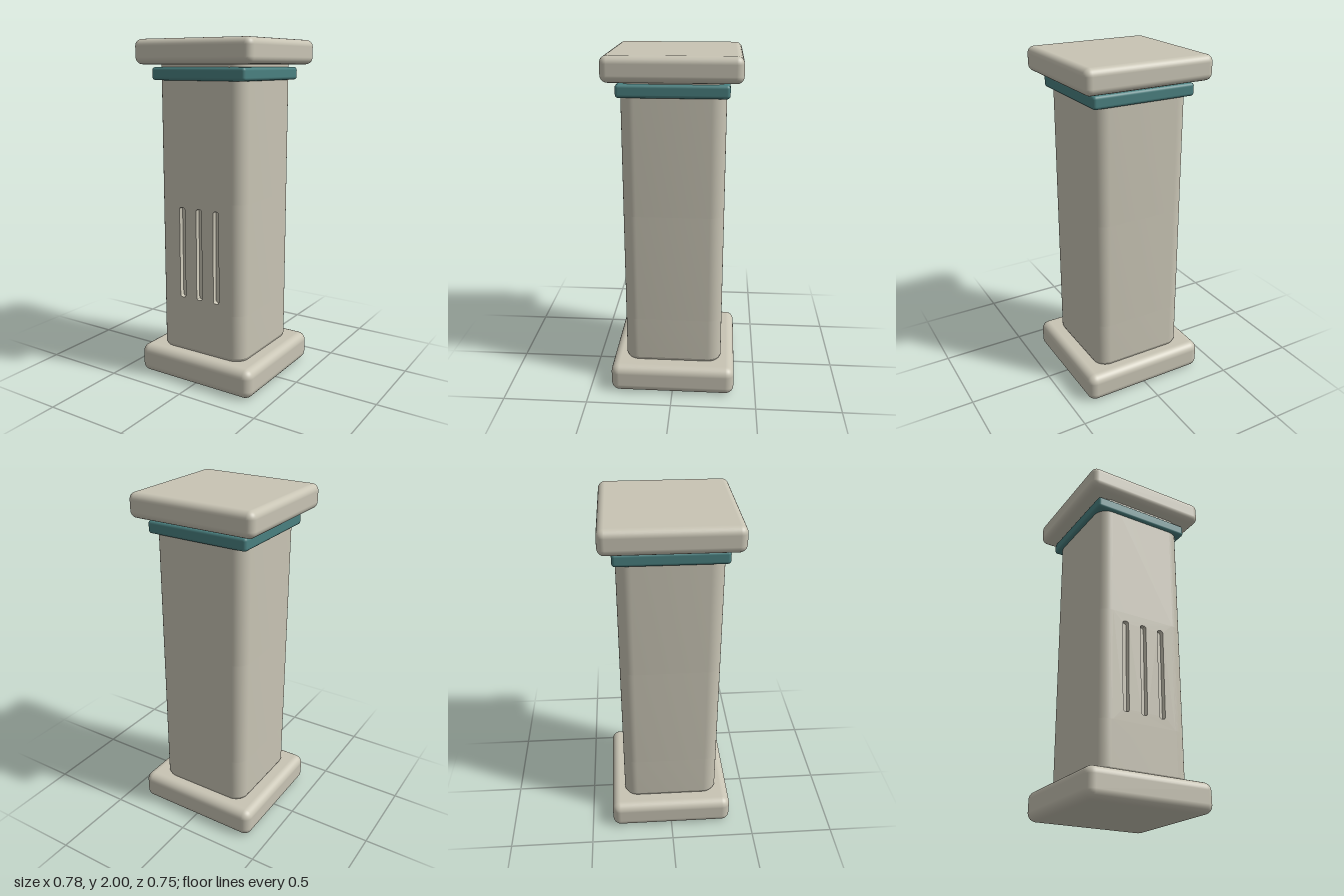
import * as THREE from 'three';
import { RoundedBoxGeometry } from 'three/addons/geometries/RoundedBoxGeometry.js';
import { toCreasedNormals } from 'three/addons/utils/BufferGeometryUtils.js';

const stone = new THREE.MeshStandardMaterial({ color: 0xc8c4b4 });
const teal = new THREE.MeshStandardMaterial({ color: 0x4a8080 });

const HALF = 0.288;   // half width of the shaft
const CORNER = 0.08;  // rounding of its upright edges
const PANEL = 0.2;    // half width of the fluted front panel
const DEPTH = 0.03;   // depth of the flutes

function add(parent, name, geometry, material = stone) {
  const mesh = new THREE.Mesh(geometry, material);
  mesh.name = name;
  parent.add(mesh);
  return mesh;
}

function slab(parent, name, w, d, y0, y1, radius, material) {
  const geometry = new RoundedBoxGeometry(w, y1 - y0, d, 4, radius);
  add(parent, name, geometry, material).position.y = (y0 + y1) / 2;
}

// Rounded square plan; shape -y becomes the front. Optionally recessed for the panel.
function shaftPlan(recessed) {
  const h = HALF, r = CORNER, s = new THREE.Shape();
  s.moveTo(-h + r, -h);
  if (recessed) {
    s.lineTo(-PANEL, -h);
    s.lineTo(-PANEL, -h + DEPTH);
    s.lineTo(PANEL, -h + DEPTH);
    s.lineTo(PANEL, -h);
  }
  s.lineTo(h - r, -h);
  s.absarc(h - r, -h + r, r, -Math.PI / 2, 0);
  s.absarc(h - r, h - r, r, 0, Math.PI / 2);
  s.absarc(-h + r, h - r, r, Math.PI / 2, Math.PI);
  s.absarc(-h + r, -h + r, r, Math.PI, Math.PI * 1.5);
  return s;
}

// Upright length of shaft; the bottom ring may be drawn in by a scale.
function shaftPiece(parent, name, y0, y1, recessed = false, bottomScale = 1) {
  const g = new THREE.ExtrudeGeometry(shaftPlan(recessed), {
    depth: y1 - y0, bevelEnabled: false, curveSegments: 6,
  });
  g.rotateX(-Math.PI / 2);
  const p = g.attributes.position;
  for (let i = 0; i < p.count; i++) {
    if (p.getY(i) < 1e-4) p.setXYZ(i, p.getX(i) * bottomScale, p.getY(i), p.getZ(i) * bottomScale);
  }
  g.translate(0, y0, 0);
  add(parent, name, toCreasedNormals(g, 0.6));
}

// Slot with rounded corners
function flute(x, y0, y1, halfWidth, r) {
  const s = new THREE.Path();
  s.moveTo(x - halfWidth + r, y0);
  s.absarc(x + halfWidth - r, y0 + r, r, -Math.PI / 2, 0);
  s.absarc(x + halfWidth - r, y1 - r, r, 0, Math.PI / 2);
  s.absarc(x - halfWidth + r, y1 - r, r, Math.PI / 2, Math.PI);
  s.absarc(x - halfWidth + r, y0 + r, r, Math.PI, Math.PI * 1.5);
  return s;
}

export function createModel() {
  const pillar = new THREE.Group();
  pillar.name = 'pillar';

  // Plinth, collar and capital
  slab(pillar, 'base', 0.776, 0.74, 0, 0.173, 0.05);
  slab(pillar, 'collar', 0.62, 0.61, 1.772, 1.845, 0.018, teal);
  slab(pillar, 'capital', 0.772, 0.746, 1.86, 2, 0.04);

  // Shaft, with a recess behind the fluted panel
  const shaft = new THREE.Group();
  shaft.name = 'shaft';
  pillar.add(shaft);
  const low = 0.45, high = 1.1;
  shaftPiece(shaft, 'shaftFoot', 0.165, 0.19, false, 0.965);
  shaftPiece(shaft, 'shaftLower', 0.19, low);
  shaftPiece(shaft, 'shaftMiddle', low, high, true);
  shaftPiece(shaft, 'shaftUpper', high, 1.88);

  // Front panel cut by three upright flutes
  const panel = new THREE.Shape();
  panel.moveTo(-PANEL, low);
  panel.lineTo(PANEL, low);
  panel.lineTo(PANEL, high);
  panel.lineTo(-PANEL, high);
  for (const x of [-0.117, 0, 0.117]) panel.holes.push(flute(x, 0.505, 1.05, 0.019, 0.014));
  const g = new THREE.ExtrudeGeometry(panel, { depth: DEPTH, bevelEnabled: false, curveSegments: 5 });
  g.translate(0, 0, HALF - DEPTH);
  add(shaft, 'flutedPanel', toCreasedNormals(g, 0.6));

  return pillar;
}
